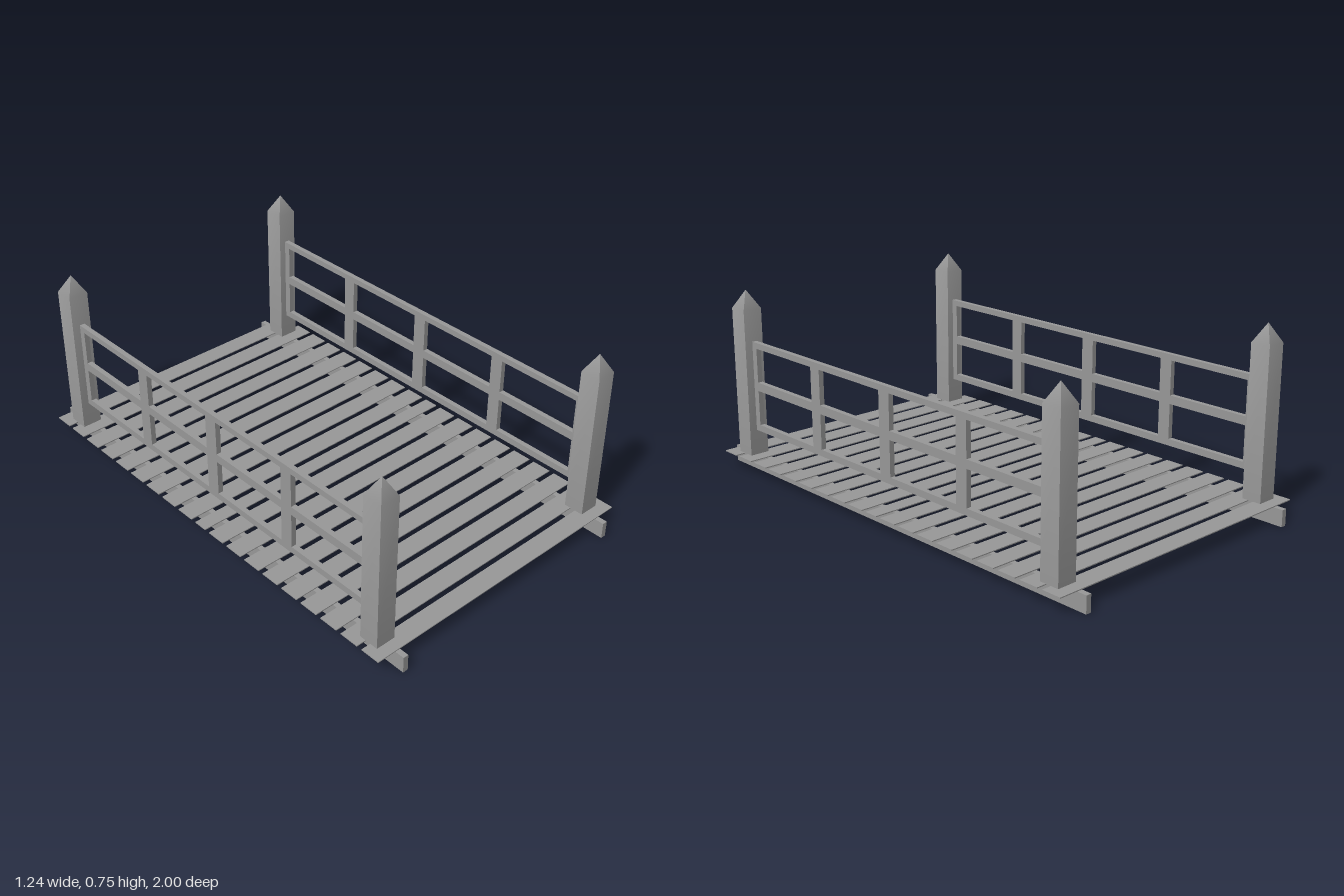
import * as THREE from 'three';
import { mergeGeometries, toCreasedNormals } from 'three/addons/utils/BufferGeometryUtils.js';

const mat = new THREE.MeshStandardMaterial({ color: 0x999999 });

const DECK_Y = 0.07, POST_W = 0.082, POST_TOP = 0.677, TIP_Y = 0.752;

function add(parent, name, geometry, x, y, z) {
  const mesh = new THREE.Mesh(geometry, mat);
  mesh.name = name;
  mesh.position.set(x, y, z);
  parent.add(mesh);
}

// Square post with a four-sided point; shading runs softly from shaft to point
function makePost() {
  const h = POST_TOP - DECK_Y, capH = TIP_Y - POST_TOP;
  const shaft = new THREE.BoxGeometry(POST_W, h, POST_W).translate(0, DECK_Y + h / 2, 0);
  const point = new THREE.ConeGeometry(POST_W / Math.SQRT2, capH, 4, 1, true)
    .rotateY(Math.PI / 4)
    .translate(0, POST_TOP + capH / 2, 0);
  return toCreasedNormals(mergeGeometries([shaft, point]), Math.PI / 5);
}

// Railing frame: one panel pierced by two rows of four openings
function makeRailing() {
  const half = 0.832, thickness = 0.021;
  const rect = (path, u0, u1, v0, v1) => {
    path.moveTo(u0, v0);
    path.lineTo(u1, v0);
    path.lineTo(u1, v1);
    path.lineTo(u0, v1);
    path.closePath();
    return path;
  };
  const shape = rect(new THREE.Shape(), -half, half, 0.176, 0.547);
  const bays = [[-0.804, -0.442], [-0.388, -0.029], [0.029, 0.388], [0.442, 0.804]];
  const rows = [[0.203, 0.347], [0.382, 0.523]];
  for (const [u0, u1] of bays)
    for (const [v0, v1] of rows) shape.holes.push(rect(new THREE.Path(), u0, u1, v0, v1));
  return new THREE.ExtrudeGeometry(shape, { depth: thickness, bevelEnabled: false })
    .translate(0, 0, -thickness / 2)
    .rotateY(Math.PI / 2);
}

export function createModel() {
  const bridge = new THREE.Group();
  bridge.name = 'footbridge';

  // Thin deck planks: nine on each side of a narrower middle one
  const deck = new THREE.Group();
  deck.name = 'deck';
  bridge.add(deck);
  const plank = (z, depth) => add(deck, 'plank', new THREE.BoxGeometry(1.236, 0.004, depth), 0, DECK_Y, z);
  plank(0, 0.06);
  for (let i = 0; i < 9; i++)
    for (const s of [-1, 1]) plank(s * (0.094 + i * 0.1033), 0.081);

  // Beams, railings and posts on both sides
  for (const s of [-1, 1]) {
    add(bridge, 'beam', new THREE.BoxGeometry(0.022, 0.067, 2), s * 0.527, 0.0335, 0);
    add(bridge, 'railing', makeRailing(), s * 0.535, 0, 0);
    for (const e of [-1, 1]) add(bridge, 'post', makePost(), s * 0.537, 0, e * 0.872);
  }
  return bridge;
}
